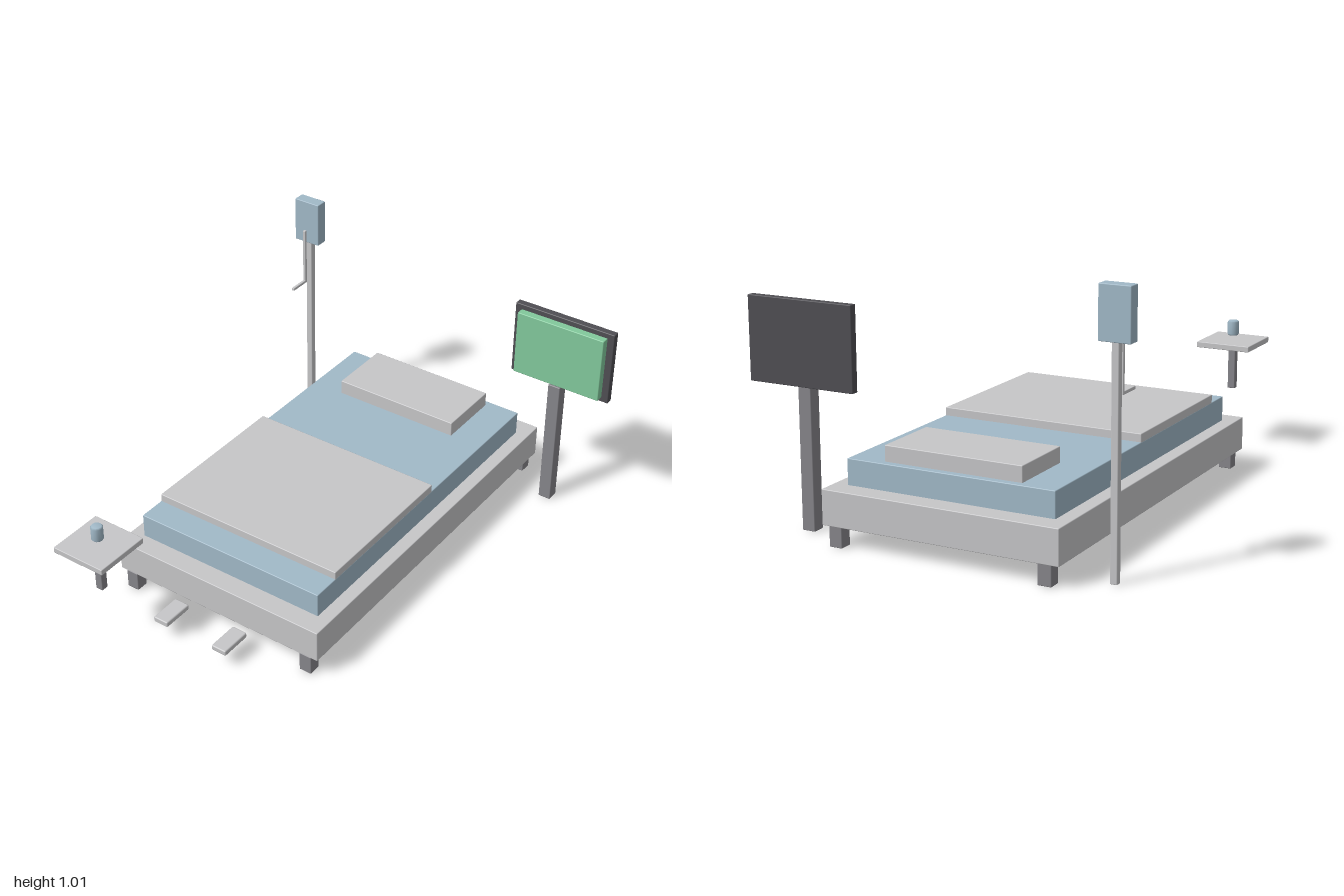
import * as THREE from 'three';
import { RoundedBoxGeometry } from 'three/addons/geometries/RoundedBoxGeometry.js';

export function createModel() {
  const group = new THREE.Group();
  const material = (name, color) => {
    const m = new THREE.MeshStandardMaterial({ color });
    m.name = name;
    return m;
  };
  const lightGrey = material('light grey', 0xc6c6c8);
  const blue = material('pale blue', 0xa1b9c8);
  const green = material('screen green', 0x82c99c);
  const midGrey = material('metal grey', 0x86858a);
  const charcoal = material('charcoal', 0x4f4e53);

  // Box with a fine bevel, given by its extents on each axis
  function box(name, mat, [x0, x1], [y0, y1], [z0, z1], bevel = 0.003) {
    const geo = new RoundedBoxGeometry(x1 - x0, y1 - y0, z1 - z0, 1, bevel);
    const mesh = new THREE.Mesh(geo, mat);
    mesh.name = name;
    mesh.position.set((x0 + x1) / 2, (y0 + y1) / 2, (z0 + z1) / 2);
    group.add(mesh);
    return mesh;
  }

  // Bed
  box('bedFrame', lightGrey, [-0.552, 0.386], [0.076, 0.209], [-1, 0.603]);
  box('mattress', blue, [-0.496, 0.331], [0.2, 0.307], [-0.917, 0.521]);
  box('blanket', lightGrey, [-0.496, 0.331], [0.304, 0.339], [-0.25, 0.409]);
  box('pillow', lightGrey, [-0.357, 0.191], [0.304, 0.367], [-0.89, -0.616]);
  for (const x of [-0.497, 0.333])
    for (const z of [-0.972, 0.579])
      box('bedLeg', midGrey, [x - 0.026, x + 0.026], [0, 0.08], [z - 0.026, z + 0.026]);

  // Monitor on its post
  box('monitorPost', midGrey, [0.499, 0.552], [0, 0.556], [-0.89, -0.838]);
  box('monitorFrame', charcoal, [0.307, 0.747], [0.538, 0.854], [-0.907, -0.876]);
  box('monitorScreen', green, [0.334, 0.718], [0.556, 0.832], [-0.88, -0.844]);

  // Drip stand with bag and bent line
  box('dripPole', lightGrey, [-0.705, -0.678], [0, 0.826], [-0.878, -0.851]);
  box('dripBag', blue, [-0.753, -0.635], [0.822, 1.012], [-0.891, -0.84]);
  box('dripLineUpright', lightGrey, [-0.698, -0.686], [0.636, 0.886], [-0.829, -0.817], 0.002);
  box('dripLineArm', lightGrey, [-0.698, -0.686], [0.636, 0.648], [-0.829, -0.735], 0.002);

  // Side table with cup
  box('tableTop', lightGrey, [-0.502, -0.272], [0.436, 0.46], [0.77, 1]);
  box('tableStem', midGrey, [-0.403, -0.372], [0.251, 0.44], [0.873, 0.903]);
  const profile = [[0, -0.031], [0.019, -0.031], [0.024, -0.025], [0.024, 0.025], [0.019, 0.031], [0, 0.031]];
  const cup = new THREE.Mesh(
    new THREE.LatheGeometry(profile.map(([r, y]) => new THREE.Vector2(r, y)), 12), blue);
  cup.name = 'cup';
  cup.position.set(-0.387, 0.509, 0.887);
  group.add(cup);

  // Slippers
  for (const x of [-0.221, 0.055])
    box('slipper', lightGrey, [x - 0.033, x + 0.033], [0.065, 0.088], [0.636, 0.766], 0.005);

  return group;
}
